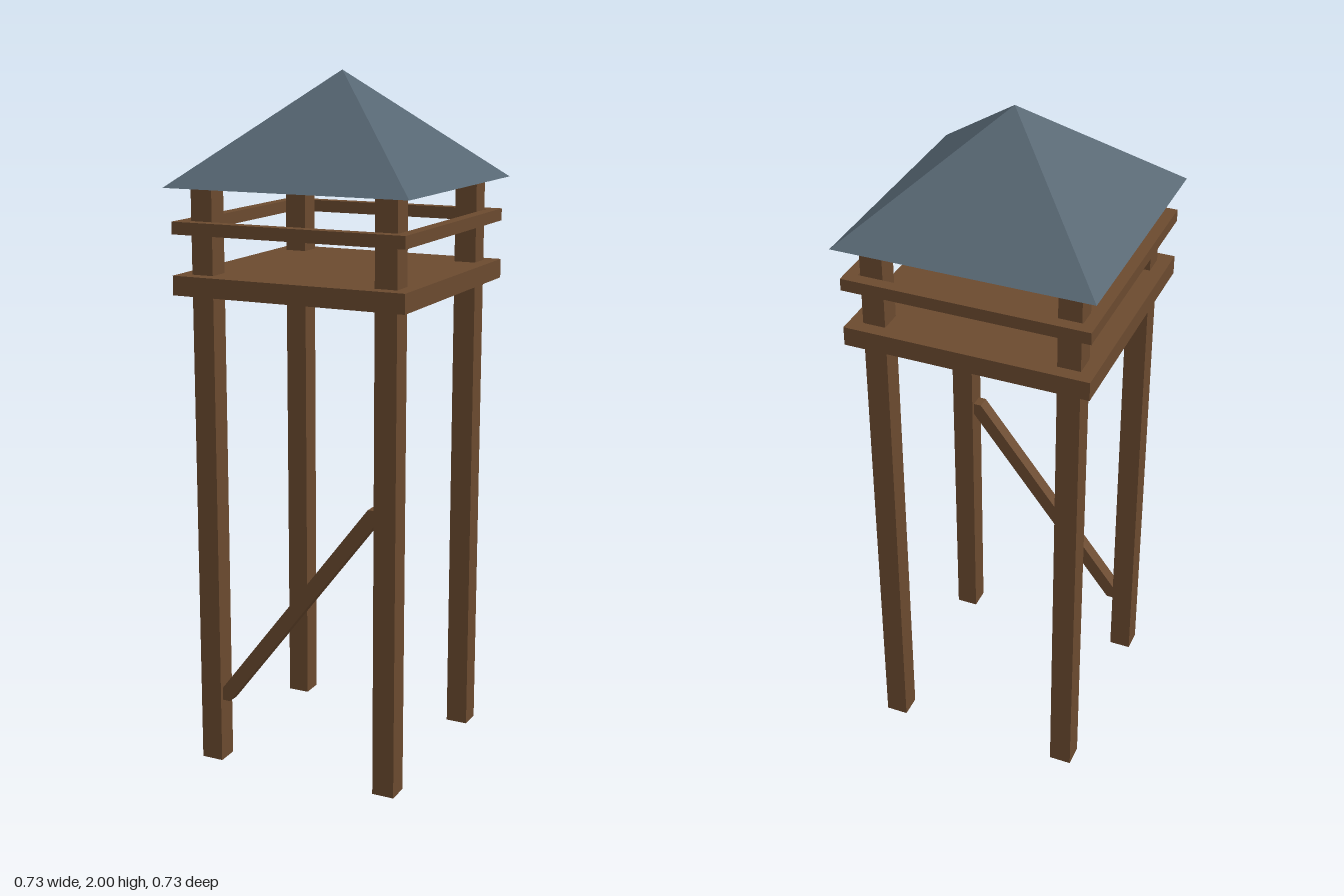
import * as THREE from 'three';

const wood = new THREE.MeshStandardMaterial({ color: 0x6b4a2f, flatShading: true });
const slate = new THREE.MeshStandardMaterial({ color: 0x566672, flatShading: true });

export function createModel() {
  const group = new THREE.Group();

  const add = (name, geometry, material, x = 0, y = 0, z = 0) => {
    const mesh = new THREE.Mesh(geometry, material);
    mesh.name = name;
    mesh.position.set(x, y, z);
    group.add(mesh);
    return mesh;
  };

  // Four square corner posts
  const postHeight = 1.69, postOffset = 0.278;
  for (const x of [-1, 1]) {
    for (const z of [-1, 1]) {
      add('post', new THREE.BoxGeometry(0.065, postHeight, 0.065), wood,
        x * postOffset, postHeight / 2, z * postOffset);
    }
  }

  // Lookout floor
  add('platform', new THREE.BoxGeometry(0.7, 0.055, 0.7), wood, 0, 1.421, 0);

  // Handrails just outside the posts, side rails fitted between front and back
  const railSize = 0.035, railOffset = 0.35 - railSize / 2;
  for (const s of [-1, 1]) {
    add('rail', new THREE.BoxGeometry(0.7, railSize, railSize), wood, 0, 1.58, s * railOffset);
    add('sideRail', new THREE.BoxGeometry(railSize, railSize, 0.7 - 2 * railSize), wood,
      s * railOffset, 1.58, 0);
  }

  // Diagonal brace between the front posts, ends cut level
  const braceShape = new THREE.Shape([
    [-0.275, 0.188], [-0.222, 0.188], [0.275, 0.835], [0.222, 0.835],
  ].map(([x, y]) => new THREE.Vector2(x, y)));
  const braceDepth = 0.04;
  add('brace', new THREE.ExtrudeGeometry(braceShape, { depth: braceDepth, bevelEnabled: false }),
    wood, 0, 0, postOffset - braceDepth / 2);

  // Four-sided pyramid roof with closed underside
  const roofHeight = 0.31;
  const roof = new THREE.ConeGeometry(0.366 * Math.SQRT2, roofHeight, 4);
  roof.rotateY(Math.PI / 4);
  add('roof', roof, slate, 0, postHeight + roofHeight / 2, 0);

  return group;
}
